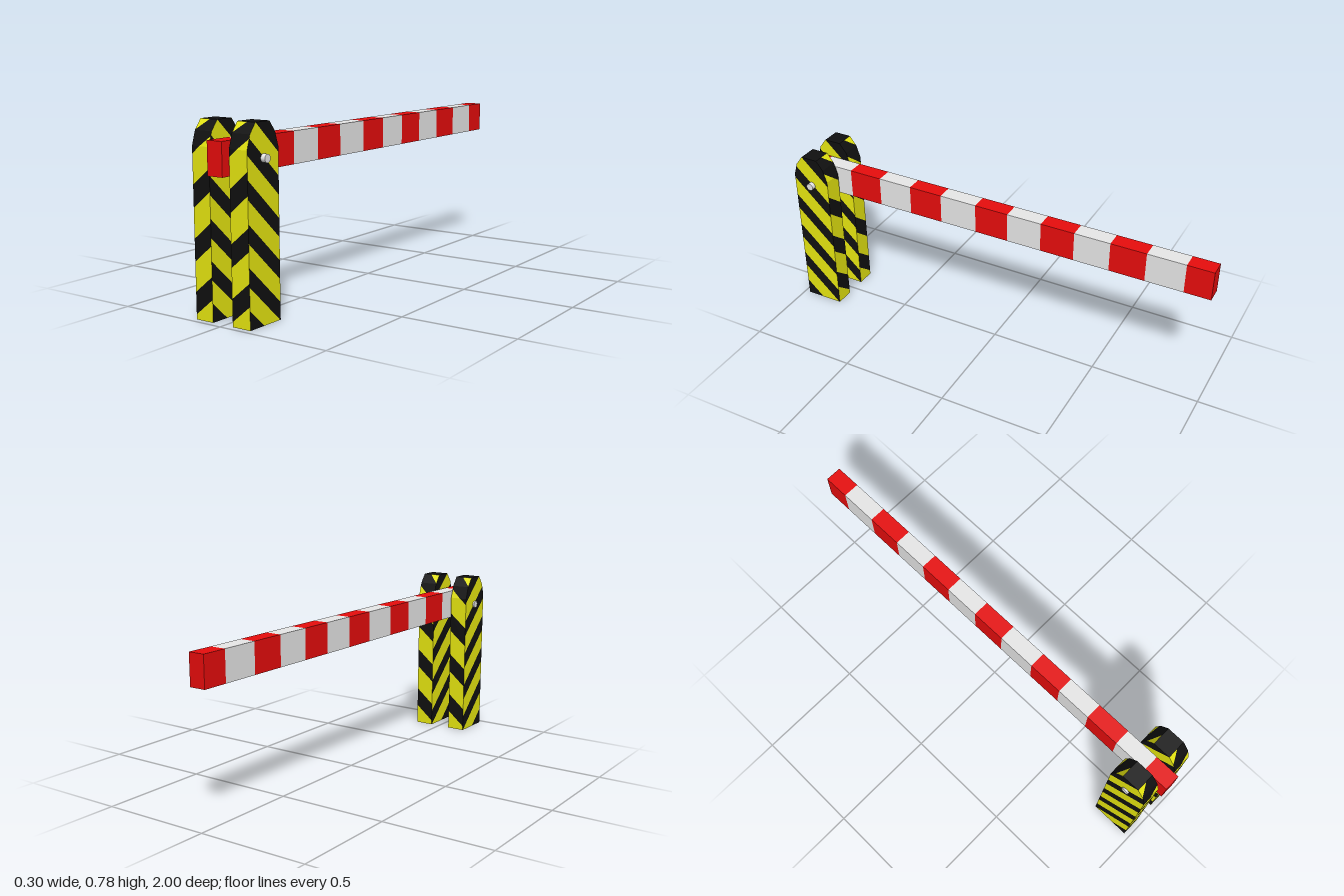
import * as THREE from 'three';

const mat = (name, color) => Object.assign(new THREE.MeshStandardMaterial({ color }), { name });

// Keep the part of a flat polygon where f(p) >= 0 (f is linear).
function clip(poly, f) {
  const out = [];
  poly.forEach((a, i) => {
    const b = poly[(i + 1) % poly.length];
    const fa = f(a), fb = f(b);
    if (fa >= 0) out.push(a);
    if ((fa >= 0) !== (fb >= 0)) out.push(a.clone().lerp(b, fa / (fa - fb)));
  });
  return out;
}

function addFan(list, poly) {
  for (let i = 1; i < poly.length - 1; i++) {
    for (const p of [poly[0], poly[i], poly[i + 1]]) list.push(p.x, p.y, p.z);
  }
}

function flatMesh(list, material, name) {
  const g = new THREE.BufferGeometry();
  g.setAttribute('position', new THREE.Float32BufferAttribute(list, 3));
  g.computeVertexNormals();
  const m = new THREE.Mesh(g, material);
  m.name = name;
  return m;
}

export function createModel() {
  const yellow = mat('hazard yellow', 0xffff13);
  const black = mat('hazard black', 0x101010);
  const red = mat('barrier red', 0xff0f0f);
  const white = mat('barrier white', 0xffffff);
  const steel = mat('steel', 0xe8e8e8);
  const model = new THREE.Group();
  model.name = 'barrier';

  // Post outline as (z, y), front foot over the chamfered top to back foot
  const zF = 0.975, zB = 0.795;
  const outline = [
    [zF, 0], [zF, 0.68], [0.957, 0.738], [0.925, 0.78],
    [0.845, 0.78], [0.813, 0.738], [zB, 0.68], [zB, 0],
  ];

  function makePost(x0, x1, name) {
    const yellowTris = [], blackTris = [];

    // Cut one face into diagonal bands of alternating colour
    function stripe(face, f, start, dark, period) {
      for (let k = -2; k < 8; k++) {
        const a = start + k * period, b = a + dark, c = a + period;
        const cut = (lo, hi) => clip(clip(face, p => f(p) - lo), p => hi - f(p));
        addFan(blackTris, cut(a, b));
        addFan(yellowTris, cut(b, c));
      }
    }

    // Narrow faces around the outline: bands rise towards +x
    outline.forEach(([za, ya], i) => {
      const [zb, yb] = outline[(i + 1) % outline.length];
      const face = [[x0, ya, za], [x1, ya, za], [x1, yb, zb], [x0, yb, zb]]
        .map(p => new THREE.Vector3(...p));
      if (ya === 0.78 && yb === 0.78) addFan(blackTris, face);
      else stripe(face, p => p.y - 0.83 * (p.x - x0), 0.02, 0.09, 0.21);
    });

    // Broad sides: bands rise towards the front
    const side = x => outline.map(([z, y]) => new THREE.Vector3(x, y, z));
    for (const face of [side(x0), side(x1).reverse()]) {
      stripe(face, p => p.y + 0.95 * (zF - p.z), 0.003, 0.074, 0.165);
    }

    const post = new THREE.Group();
    post.name = name;
    post.add(flatMesh(yellowTris, yellow, 'postYellowBands'));
    post.add(flatMesh(blackTris, black, 'postBlackBands'));
    return post;
  }
  model.add(makePost(-0.142, -0.057, 'rightPost'), makePost(0.043, 0.13, 'leftPost'));

  // Barrier arm in red and white sections, red at both ends
  const arm = new THREE.Group();
  arm.name = 'arm';
  const cuts = [1, 0.885, 0.73, 0.573, 0.413, 0.255, 0.081, -0.075, -0.235, -0.39, -0.553, -0.713, -0.883, -1];
  for (let i = 0; i < cuts.length - 1; i++) {
    const section = new THREE.Mesh(
      new THREE.BoxGeometry(0.073, 0.135, cuts[i] - cuts[i + 1]), i % 2 ? white : red);
    section.position.set(-0.0065, 0.6425, (cuts[i] + cuts[i + 1]) / 2);
    section.name = i % 2 ? 'armWhiteSection' : 'armRedSection';
    arm.add(section);
  }
  model.add(arm);

  // Pivot pin through both posts and the arm
  const pin = new THREE.Mesh(new THREE.CylinderGeometry(0.017, 0.017, 0.3, 20), steel);
  pin.rotation.z = Math.PI / 2;
  pin.position.set(0, 0.643, 0.882);
  pin.name = 'pivotPin';
  model.add(pin);

  return model;
}
